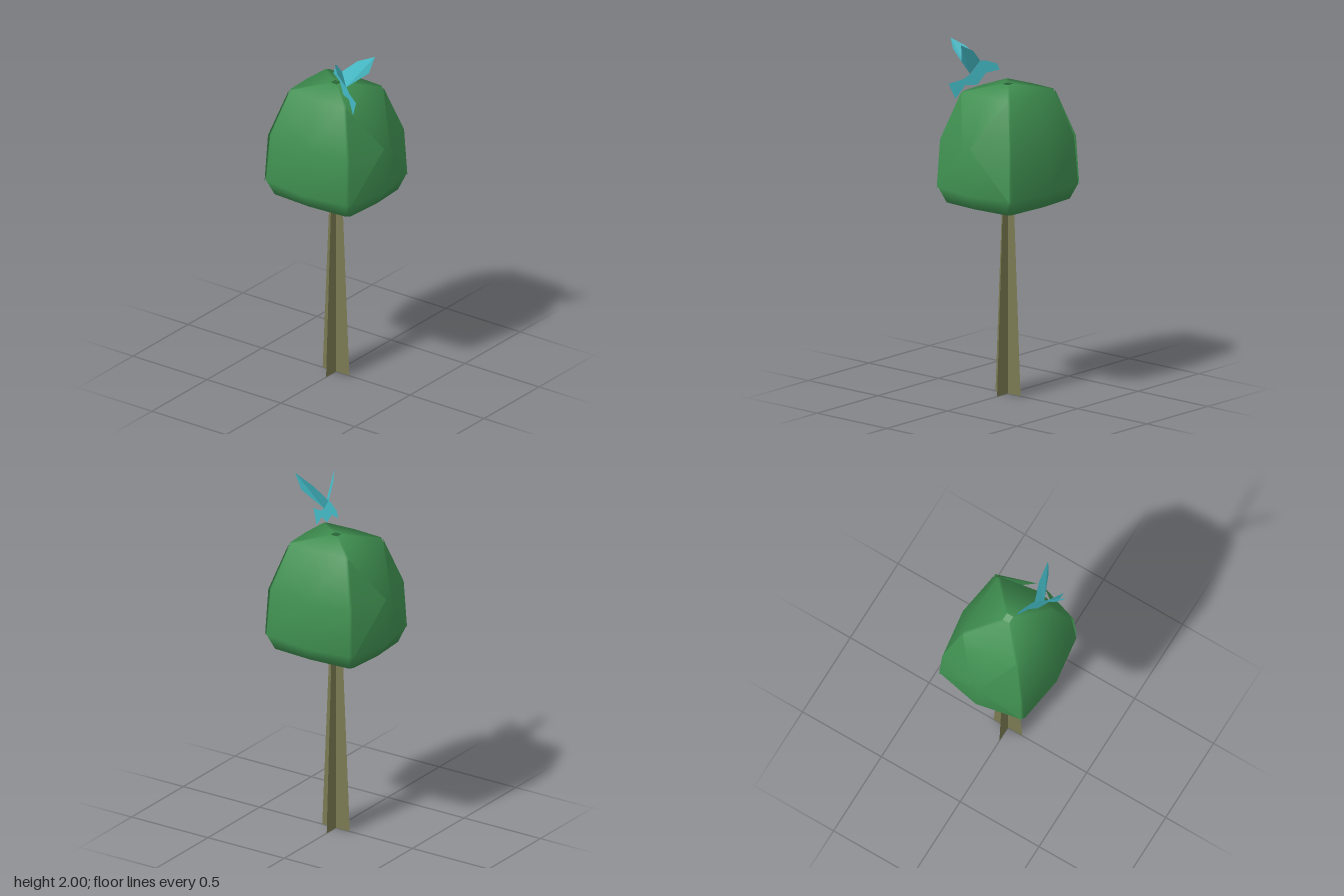
import * as THREE from 'three';

const material = (color, flatShading = false) =>
  new THREE.MeshStandardMaterial({ color, flatShading, side: THREE.DoubleSide });

// Mesh from corner points and triangle indices
function mesh(name, points, index, mat) {
  const geo = new THREE.BufferGeometry();
  geo.setAttribute('position', new THREE.Float32BufferAttribute(points.flat(), 3));
  geo.setIndex(index);
  geo.computeVertexNormals();
  const m = new THREE.Mesh(geo, mat);
  m.name = name;
  return m;
}

// Flat polygon given by its outline
function fan(name, points, mat) {
  const index = [];
  for (let i = 1; i < points.length - 1; i++) index.push(0, i, i + 1);
  return mesh(name, points, index, mat);
}

// Boxy ring: side middles and chamfered corners, counter-clockwise from +x towards -z
function ring([y, xMid, xCorner, zMid, zCorner, c]) {
  const quarter = [[xMid, 0], [xCorner, zCorner - c], [xCorner - c, zCorner], [0, zMid]];
  const [a, b, d, e] = quarter;
  const outline = [a, b, d, e,
    [-d[0], d[1]], [-b[0], b[1]], [-a[0], 0], [-b[0], -b[1]], [-d[0], -d[1]],
    [0, -e[1]], [d[0], -d[1]], [b[0], -b[1]]];
  return outline.map(([x, z]) => [x, y, -z]);
}

function createCrown(mat) {
  const crown = new THREE.Group();
  crown.name = 'crown';
  // y, xMid, xCorner, zMid, zCorner, chamfer, from the bottom point to the small opening on top
  const levels = [
    [1.01, 0.004, 0.004, 0.004, 0.004, 0.001],
    [1.085, 0.25, 0.235, 0.275, 0.26, 0.02],
    [1.17, 0.308, 0.27, 0.338, 0.288, 0.018],
    [1.435, 0.287, 0.25, 0.312, 0.272, 0.015],
    [1.70, 0.182, 0.172, 0.198, 0.19, 0.012],
    [1.735, 0.02, 0.02, 0.022, 0.022, 0.003],
  ];
  const n = 12, index = [];
  for (let r = 0; r < levels.length - 1; r++) {
    for (let i = 0; i < n; i++) {
      const a = r * n + i, b = r * n + (i + 1) % n;
      index.push(a, b, b + n, a, b + n, a + n);
    }
  }
  crown.add(mesh('crownShell', levels.flatMap(ring), index, mat));

  // Pointed leaf flaps folded over the front and back
  for (const sx of [1, -1]) {
    for (const sz of [1, -1]) {
      const p = [[0.025, 1.44, 0.345], [0.17, 1.695, 0.193], [0.25, 1.435, 0.274], [0.262, 1.16, 0.288]]
        .map(([x, y, z]) => [x * sx, y, z * sz]);
      const index = sx * sz > 0 ? [0, 2, 1, 0, 3, 2] : [0, 1, 2, 0, 2, 3];
      crown.add(mesh('leafFlap', p, index, mat));
    }
  }
  return crown;
}

// Two crossed tapering planes
function createTrunk(mat) {
  const trunk = new THREE.Group();
  trunk.name = 'trunk';
  for (const turn of [0, Math.PI / 2]) {
    const plane = fan('trunkPlane',
      [[-0.09, 0, 0], [0.09, 0, 0], [0.043, 1.06, 0], [-0.043, 1.06, 0]], mat);
    plane.rotation.y = turn;
    trunk.add(plane);
  }
  return trunk;
}

// Paper-thin bird: upright body plane and two raised wings
function createBird(mat) {
  const bird = new THREE.Group();
  bird.name = 'bird';
  const body = new THREE.Shape([
    [0.016, 1.81], [0.03, 1.845], [0.085, 1.868], [0.115, 1.872], [0.165, 1.80], [0.2, 1.775],
    [0.275, 1.757], [0.24, 1.668], [0.192, 1.74], [0.13, 1.737], [0.085, 1.80],
  ].map(([z, y]) => new THREE.Vector2(z, y)));
  const geo = new THREE.ShapeGeometry(body);
  const pos = geo.attributes.position;
  for (let i = 0; i < pos.count; i++) {
    const z = pos.getX(i);
    pos.setXYZ(i, -0.045 - (z - 0.016) * 0.55, pos.getY(i), z);
  }
  geo.computeVertexNormals();
  const bodyMesh = new THREE.Mesh(geo, mat);
  bodyMesh.name = 'birdBody';
  bird.add(bodyMesh);

  const front = [-0.1, 1.87, 0.115], rear = [-0.13, 1.80, 0.165];
  bird.add(fan('rightWing',
    [rear, front, [-0.18, 1.945, 0.14], [-0.255, 1.987, 0.182], [-0.235, 1.925, 0.183]], mat));
  bird.add(fan('leftWing',
    [rear, [-0.085, 1.9, 0.285], [-0.065, 2, 0.312], [-0.075, 1.945, 0.2], front], mat));
  return bird;
}

export function createModel() {
  const model = new THREE.Group();
  model.name = 'treeWithBird';
  model.add(
    createTrunk(material(0x7a7a52, true)),
    createCrown(material(0x3f8f50)),
    createBird(material(0x45bcc8, true)),
  );
  return model;
}
